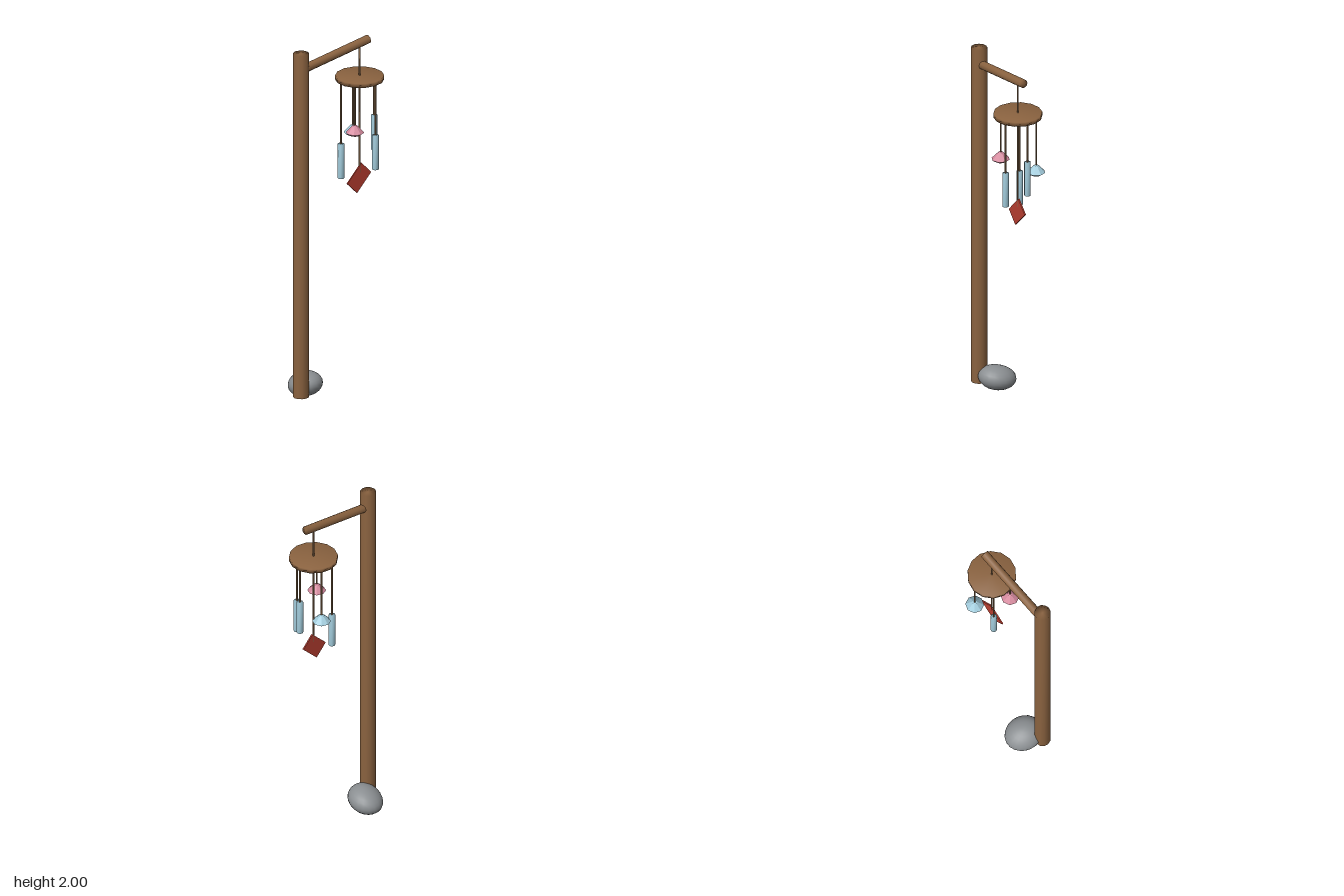
import * as THREE from 'three';
import { mergeVertices } from 'three/addons/utils/BufferGeometryUtils.js';

const material = (name, color) => {
  const m = new THREE.MeshStandardMaterial({ color });
  m.name = name;
  return m;
};

// Weld a geometry so shading runs smoothly over its rims
function weld(geometry) {
  geometry.deleteAttribute('uv');
  geometry.deleteAttribute('normal');
  const g = mergeVertices(geometry, 1e-5);
  g.computeVertexNormals();
  return g;
}

export function createModel() {
  const model = new THREE.Group();
  model.name = 'windChimeStand';

  const wood = material('wood', 0x8b6340);
  const cord = material('cord', 0x86684a);
  const glass = material('paleBlue', 0xa3cddd);
  const pink = material('pink', 0xd58a9e);
  const red = material('red', 0xb83e30);
  const stone = material('stone', 0x8b8f92);

  function add(parent, name, geometry, mat, x = 0, y = 0, z = 0) {
    const mesh = new THREE.Mesh(geometry, mat);
    mesh.name = name;
    mesh.position.set(x, y, z);
    parent.add(mesh);
    return mesh;
  }

  // Round bar between two points
  function bar(parent, name, a, b, radius, sides, mat) {
    const from = new THREE.Vector3(...a), to = new THREE.Vector3(...b);
    const dir = to.clone().sub(from);
    const g = weld(new THREE.CylinderGeometry(radius, radius, dir.length(), sides));
    const mesh = add(parent, name, g, mat);
    mesh.position.copy(from).add(to).multiplyScalar(0.5);
    mesh.quaternion.setFromUnitVectors(new THREE.Vector3(0, 1, 0), dir.normalize());
    return mesh;
  }

  const cx = 0.16, cz = 0.015;

  // Post and slanted arm
  bar(model, 'post', [-0.245, 0.035, cz], [-0.245, 2, cz], 0.044, 12, wood);
  bar(model, 'arm', [-0.23, 1.906, cz], [0.219, 1.97, cz], 0.024, 10, wood);

  // Hanging disc with the central cord and wind catcher
  add(model, 'disc', weld(new THREE.CylinderGeometry(0.131, 0.131, 0.024, 14)), wood, cx, 1.765, cz);
  bar(model, 'centreCord', [cx, 1.955, cz], [cx, 1.22, cz], 0.005, 6, cord);
  const sail = add(model, 'windCatcher', new THREE.BoxGeometry(0.095, 0.138, 0.008), red, 0.155, 1.19, cz);
  sail.rotation.z = -0.79;

  // Five pendants evenly spaced under the disc
  const bellProfile = [[0, -0.026], [0.03, -0.014], [0.05, 0], [0.013, 0.039], [0, 0.043]]
    .map(([r, y]) => new THREE.Vector2(r, y));
  const bellGeometry = new THREE.LatheGeometry(bellProfile, 8).toNonIndexed();
  bellGeometry.computeVertexNormals();
  const tubeGeometry = weld(new THREE.CylinderGeometry(0.018, 0.018, 0.196, 8));
  const pendants = [
    { name: 'tube', top: 1.525 },
    { name: 'tube', top: 1.455 },
    { name: 'bell', top: 1.529, mat: pink },
    { name: 'tube', top: 1.386 },
    { name: 'bell', top: 1.459, mat: glass },
  ];
  pendants.forEach(({ name, top, mat }, i) => {
    const angle = (i * 2 * Math.PI) / 5;
    const x = cx + Math.cos(angle) * 0.1, z = cz + Math.sin(angle) * 0.1;
    const pendant = new THREE.Group();
    pendant.name = name + 'Pendant';
    pendant.position.set(x, 0, z);
    model.add(pendant);
    bar(pendant, 'cord', [0, 1.757, 0], [0, top - 0.01, 0], 0.005, 6, cord);
    if (name === 'tube') add(pendant, 'tube', tubeGeometry, glass, 0, top - 0.098, 0);
    else add(pendant, 'bell', bellGeometry, mat, 0, top - 0.043, 0);
  });

  // Lumpy stone at the foot
  const rock = weld(new THREE.SphereGeometry(1, 20, 14));
  const p = rock.attributes.position;
  const v = new THREE.Vector3();
  const corner = new THREE.Vector3(0.6, 0.1, -0.8).normalize();
  const flat = new THREE.Vector3(-0.75, 0.5, -0.45).normalize();
  for (let i = 0; i < p.count; i++) {
    v.fromBufferAttribute(p, i);
    const lump = 1 + 0.07 * Math.max(0, v.dot(corner)) ** 2 - 0.12 * Math.max(0, v.dot(flat)) ** 2;
    v.multiplyScalar(lump);
    p.setXYZ(i, v.x * 0.096, v.y * 0.07 + v.z * 0.012, v.z * 0.102);
  }
  rock.computeVertexNormals();
  add(model, 'stone', rock, stone, -0.169, 0.073, -0.048);

  return model;
}
